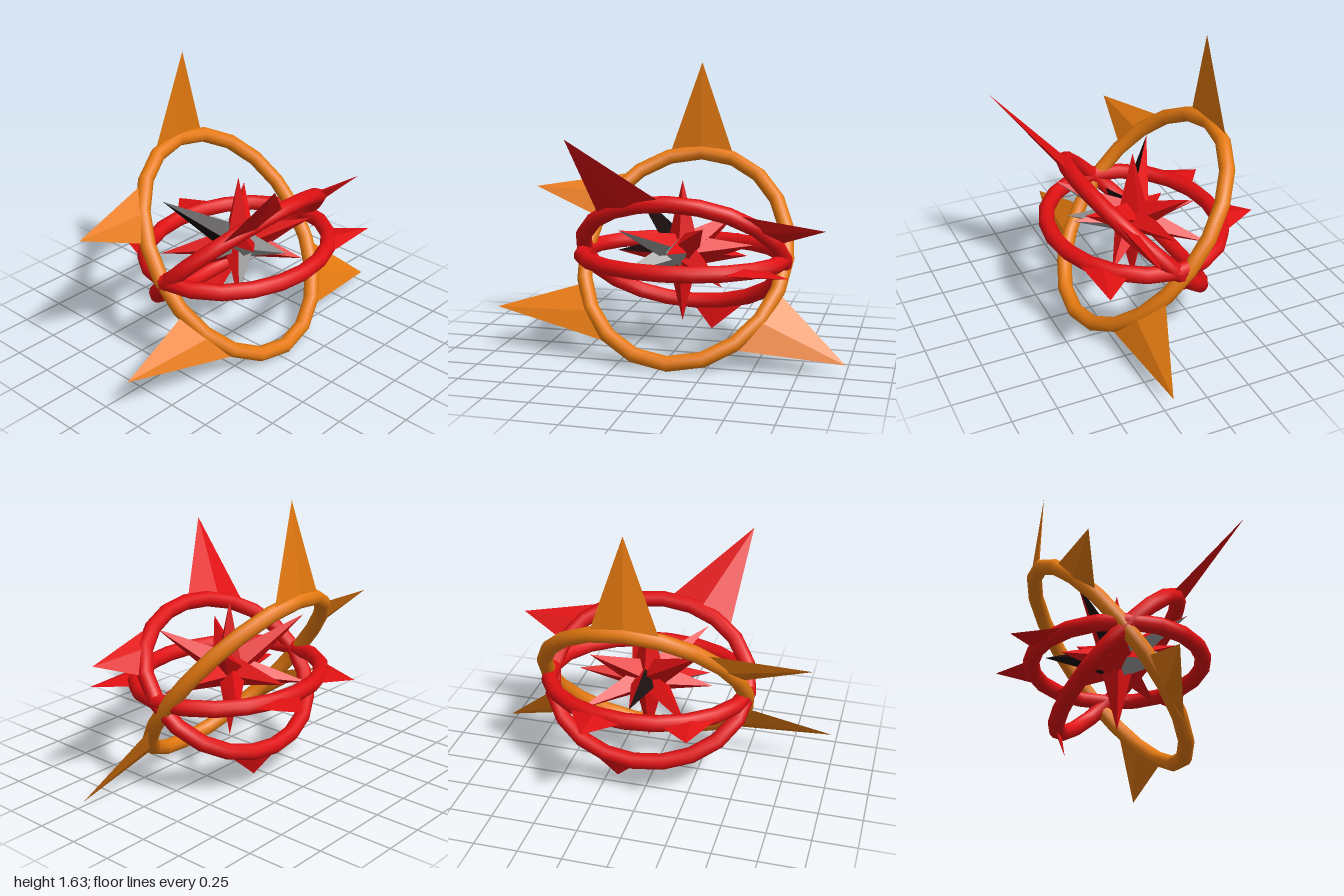
import * as THREE from 'three';

const V = (x, y, z) => new THREE.Vector3(x, y, z);
const mat = (name, color) => {
  const m = new THREE.MeshStandardMaterial({ color });
  m.name = name;
  return m;
};

// Elliptical loop: centre + u cos t + v sin t
class Loop extends THREE.Curve {
  constructor(c, u, v) {
    super();
    Object.assign(this, { c, u, v });
  }
  at(a, k = 1) {
    return this.c.clone().addScaledVector(this.u, k * Math.cos(a)).addScaledVector(this.v, k * Math.sin(a));
  }
  getPoint(t, target = V(0, 0, 0)) {
    return target.copy(this.at(t * Math.PI * 2));
  }
}

// Open four-sided pyramid; pick(normal) gives the material index of a face
function pyramid(corners, tip, pick = () => 0) {
  const inside = corners.reduce((s, p) => s.add(p), tip.clone()).divideScalar(5);
  const geo = new THREE.BufferGeometry();
  const pts = [];
  for (let i = 0; i < 4; i++) {
    let a = corners[i], b = corners[(i + 1) % 4];
    const n = b.clone().sub(a).cross(tip.clone().sub(a)).normalize();
    if (n.dot(a.clone().sub(inside)) < 0) {
      [a, b] = [b, a];
      n.negate();
    }
    pts.push(a, b, tip);
    geo.addGroup(i * 3, 3, pick(n));
  }
  geo.setFromPoints(pts);
  geo.computeVertexNormals();
  return geo;
}

export function createModel() {
  const model = new THREE.Group();
  const red = mat('red', 0xe01012);
  const orange = mat('orange', 0xe67a10);
  const black = mat('black', 0x160707);
  const grey = mat('grey', 0x9a9a9a);

  const add = (parent, name, geo, material) => {
    const mesh = new THREE.Mesh(geo, material);
    mesh.name = name;
    parent.add(mesh);
  };

  // Rings, each with blade spikes given as [start angle, end angle, tip]
  const rings = [
    {
      name: 'orangeRing', material: orange, tube: 0.044,
      loop: new Loop(V(-0.055, 0.57, -0.05), V(-0.42, 0.525, 0), V(0.02, 0, 0.58)),
      spikes: [
        [-0.32, 0.32, V(-0.435, 1.63, -0.06)],
        [0.74, 1.25, V(-0.24, 0.89, 0.91)],
        [1.9, 2.52, V(0.185, 0.25, 1.0)],
        [-1.9, -2.52, V(0.2, 0.06, -1.0)],
      ],
    },
    {
      name: 'tiltedRing', material: red, tube: 0.046,
      loop: new Loop(V(0.005, 0.57, -0.05), V(0.335, 0.35, 0), V(0, 0, 0.58)),
      spikes: [
        [0.06, 0.76, V(0.66, 1.29, 0.41)],
        [-0.6, -1.24, V(0.22, 0.79, -0.88)],
        [3.1, 3.75, V(-0.275, 0.07, -0.16)],
      ],
    },
    {
      name: 'levelRing', material: red, tube: 0.046,
      loop: new Loop(V(0, 0.573, -0.05), V(0.478, 0, 0), V(0, 0, 0.58)),
      spikes: [
        [-2.55, -3.15, V(-0.67, 0.573, -0.24)],
        [2.2, 2.82, V(-0.6, 0.573, 0.32)],
        [-1.02, -0.42, V(0.43, 0.573, -0.72)],
      ],
    },
  ];
  for (const { name, material, tube, loop, spikes } of rings) {
    const group = new THREE.Group();
    group.name = name;
    model.add(group);
    add(group, 'hoop', new THREE.TubeGeometry(loop, 20, tube, 10, true), material);
    const n = loop.u.clone().cross(loop.v).normalize();
    for (const [a, b, tip] of spikes) {
      const mid = loop.at((a + b) / 2);
      const corners = [
        loop.at(a, 1.04), mid.clone().addScaledVector(n, 0.03),
        loop.at(b, 1.04), mid.clone().addScaledVector(n, -0.03),
      ];
      add(group, 'bladeSpike', pyramid(corners, tip), material);
    }
  }

  // Star: [tip, accent material index, direction the accent faces]
  const star = new THREE.Group();
  star.name = 'star';
  model.add(star);
  const centre = V(0, 0.595, -0.05);
  const points = [
    [V(0, 1.0, -0.05)],
    [V(0, 0.19, -0.05)],
    [V(-0.4, 0.6, -0.05), 1, V(0, 0.4, 1)],
    [V(0.36, 0.65, -0.05), 2, V(0, -1, 1)],
    [V(0, 0.58, 0.33), 1, V(0.3, 0.3, 0)],
    [V(-0.08, 0.63, -0.44)],
    [V(0.37, 0.8, -0.25)],
    [V(0.36, 0.77, 0.22), 2, V(0.2, -1, 0.2)],
    [V(-0.21, 0.8, -0.33)],
    [V(-0.25, 0.89, 0.3), 1, V(1, -0.3, 0.5)],
    [V(-0.33, 0.51, -0.36)],
    [V(0.25, 0.46, -0.33)],
    [V(0.28, 0.5, 0.25), 2, V(1, -1, 0)],
    [V(-0.33, 0.51, 0.25)],
  ];
  for (const [tip, accent = 0, facing = V(0, 1, 0)] of points) {
    const dir = tip.clone().sub(centre).normalize();
    const side = dir.clone().cross(Math.abs(dir.y) > 0.9 ? V(0, 0, 1) : V(0, 1, 0)).normalize();
    const up = side.clone().cross(dir);
    const root = centre.clone().addScaledVector(dir, 0.06);
    const corners = [side, up, side.clone().negate(), up.clone().negate()]
      .map((s) => root.clone().addScaledVector(s, 0.085));
    const pick = (n) => (accent && n.dot(facing) > 0.1 - (accent === 2 ? 0.4 : 0) ? accent : 0);
    add(star, 'starPoint', pyramid(corners, tip, pick), [red, black, grey]);
  }
  const core = new THREE.IcosahedronGeometry(0.105, 0);
  core.translate(centre.x, centre.y, centre.z);
  add(star, 'starCore', core, black);

  return model;
}
